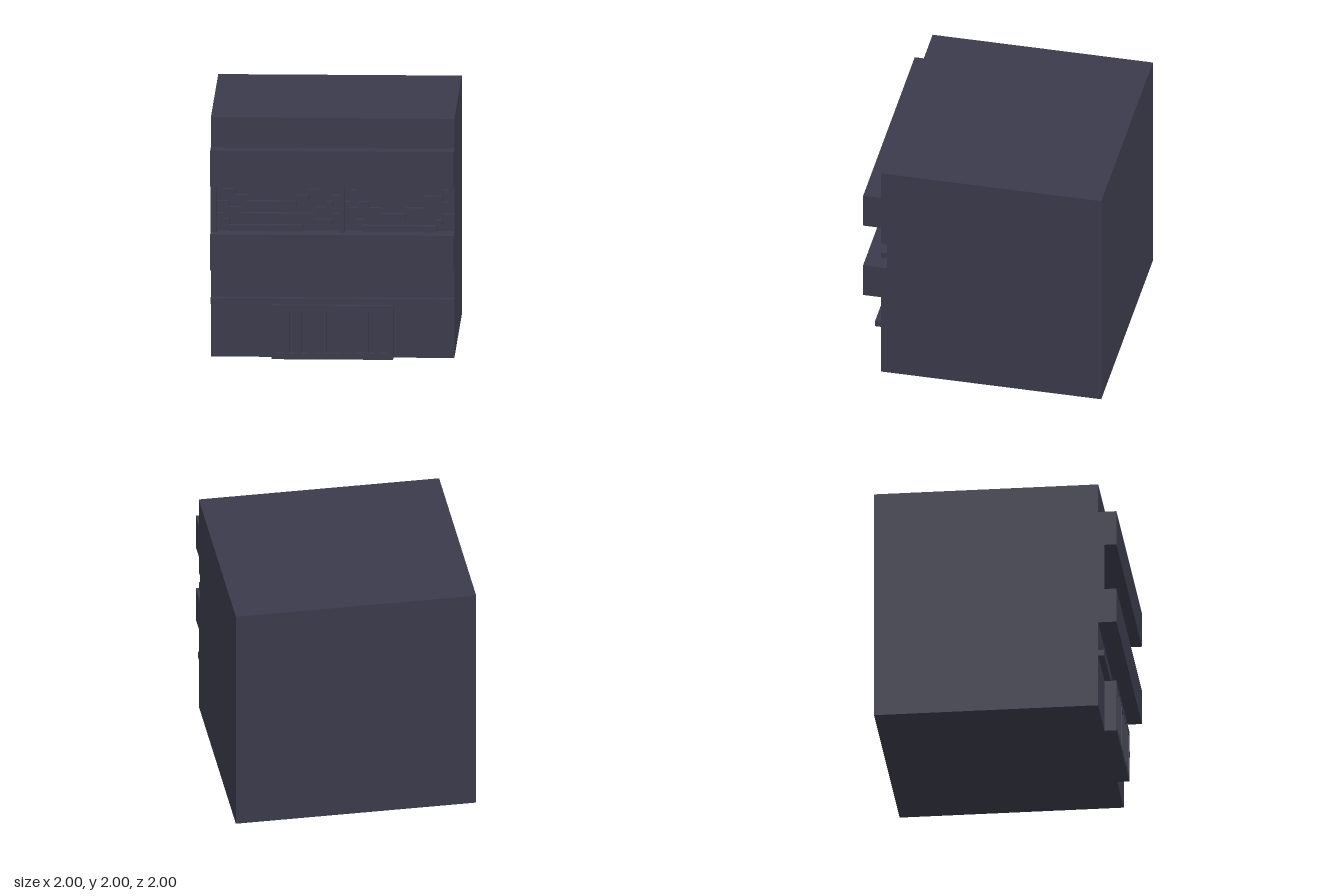
import * as THREE from 'three';

export function createModel() {
  const model = new THREE.Group();
  const slate = new THREE.MeshStandardMaterial({ color: 0x3a3a4b });
  slate.name = 'slate';

  const add = (name, geometry, parent = model) => {
    const mesh = new THREE.Mesh(geometry, slate);
    mesh.name = name;
    parent.add(mesh);
    return mesh;
  };
  // Box given by its lower and upper limits on each axis
  const box = (name, x0, x1, y0, y1, z0, z1, parent) =>
    add(name, new THREE.BoxGeometry(x1 - x0, y1 - y0, z1 - z0), parent)
      .position.set((x0 + x1) / 2, (y0 + y1) / 2, (z0 + z1) / 2);

  // Cabinet: side profile (z, y) with two bands, a cable recess and a thin rail
  const profile = [
    [-1, 0], [0.85, 0], [0.85, 0.45], [0.9, 0.45], [0.9, 0.5], [0.85, 0.5],
    [0.85, 0.75], [1, 0.75], [1, 1.05], [0.8, 1.05], [0.8, 1.45],
    [1, 1.45], [1, 1.75], [0.85, 1.75], [0.85, 2], [-1, 2],
  ].map(([z, y]) => new THREE.Vector2(z, y));
  const cabinet = new THREE.ExtrudeGeometry(new THREE.Shape(profile), { depth: 2, bevelEnabled: false });
  cabinet.rotateY(-Math.PI / 2).translate(1, 0, 0);
  add('cabinet', cabinet);

  // Posts dividing the recess
  box('leftPost', -1, -0.95, 1.05, 1.45, 0.8, 0.9);
  box('centrePost', 0.05, 0.1, 1.05, 1.45, 0.8, 0.9);

  // Sagging stepped cables: each step is [x start, x end, bottom, top]
  const cables = [
    [[-0.95, -0.9, 1.4], [-0.9, -0.8, 1.35], [-0.8, -0.7, 1.3], [-0.7, -0.3, 1.25],
      [-0.3, -0.2, 1.3], [-0.2, -0.1, 1.35], [-0.1, 0.05, 1.4]],
    [[-0.95, -0.85, 1.25], [-0.85, -0.75, 1.2], [-0.75, -0.15, 1.15],
      [-0.15, -0.05, 1.2], [-0.05, 0, 1.25], [0, 0.05, 1.3]],
    [[-0.95, -0.9, 1.15], [-0.9, -0.85, 1.1], [-0.85, -0.25, 1.05],
      [-0.25, 0, 1.1], [0, 0.05, 1.15]],
    [[0.1, 0.15, 1.4], [0.15, 0.2, 1.35], [0.2, 0.3, 1.25, 1.3], [0.3, 0.4, 1.2],
      [0.4, 0.6, 1.15], [0.6, 0.75, 1.2], [0.75, 0.9, 1.25, 1.35],
      [0.9, 0.95, 1.35], [0.95, 1, 1.35, 1.45]],
    [[0.1, 0.15, 1.25], [0.15, 0.2, 1.15, 1.25], [0.2, 0.25, 1.1],
      [0.9, 0.95, 1.25], [0.95, 1, 1.3]],
    [[0.25, 0.85, 1.05], [0.85, 0.9, 1.1], [0.9, 1, 1.15]],
  ];
  cables.forEach((steps) => {
    const cable = new THREE.Group();
    cable.name = 'cable';
    model.add(cable);
    steps.forEach(([x0, x1, y0, y1 = y0 + 0.05]) => box('cableStep', x0, x1, y0, y1, 0.8, 0.85, cable));
  });

  // Vent: backing block and a slotted front plate
  box('ventBase', -0.5, 0.5, 0, 0.45, 0.85, 0.9);
  const rect = (Type, x0, x1, y0, y1) =>
    new Type([[x0, y0], [x1, y0], [x1, y1], [x0, y1]].map(([x, y]) => new THREE.Vector2(x, y)));
  const plate = rect(THREE.Shape, -0.5, 0.5, 0, 0.45);
  plate.holes.push(rect(THREE.Path, -0.05, 0.05, 0.05, 0.4));
  for (let i = 0; i < 4; i++) {
    const x = 0.1 + i * 0.1;
    plate.holes.push(rect(THREE.Path, x, x + 0.05, 0.05, 0.4));
    plate.holes.push(rect(THREE.Path, -x - 0.05, -x, 0.05, 0.4));
  }
  add('ventPlate', new THREE.ExtrudeGeometry(plate, { depth: 0.05, bevelEnabled: false })).position.z = 0.9;

  return model;
}
